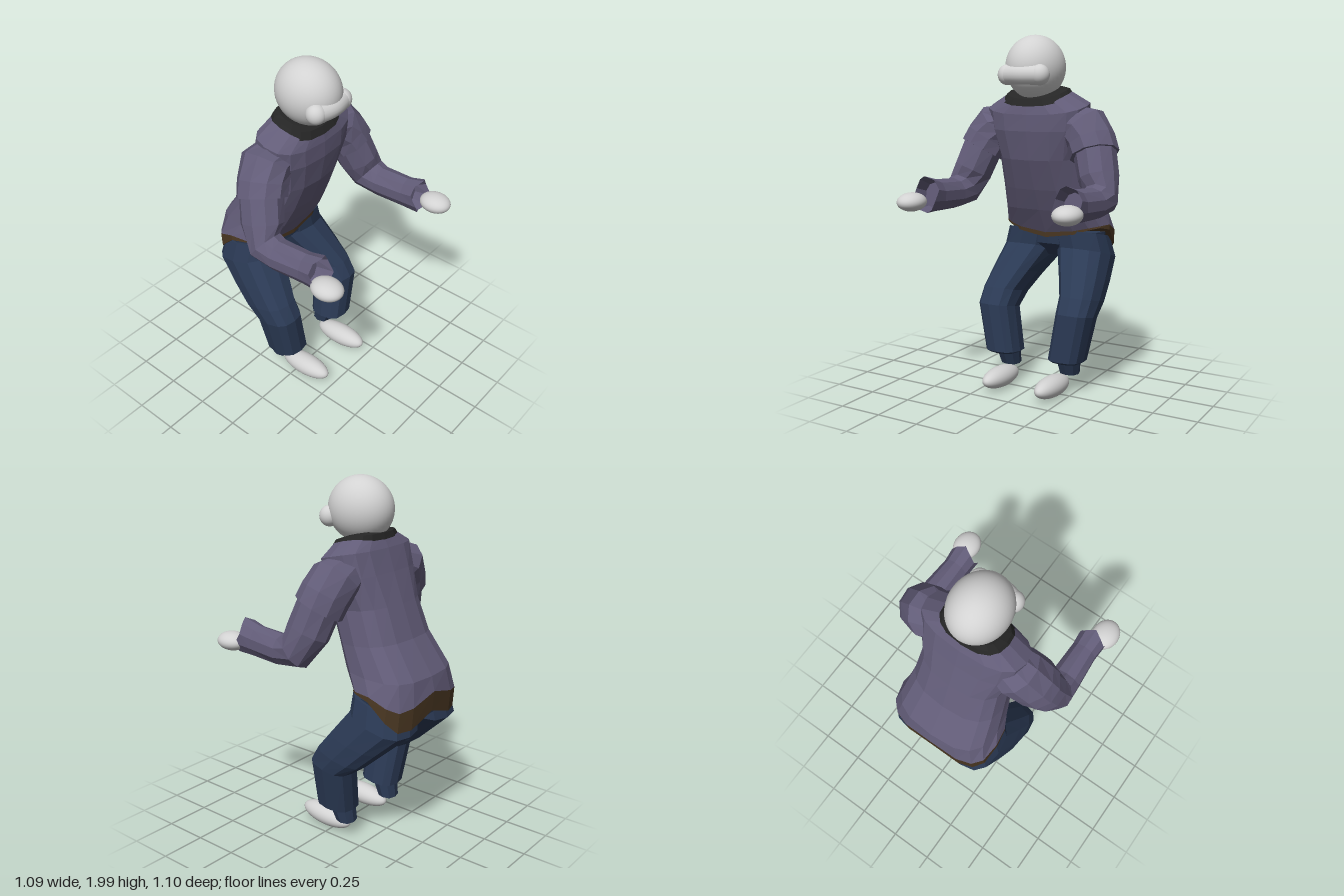
import * as THREE from 'three';

const mat = (name, color) => Object.assign(new THREE.MeshStandardMaterial({ color }), { name });
const V = (x, y, z) => new THREE.Vector3(x, y, z);
const spow = (a, p) => Math.sign(a) * Math.abs(a) ** p;

// Ring given by its front and back points [y, z], centre x and half width.
// lift raises the sides; front / back raise the four diagonals.
function span(f, b, x, w, { n = 16, p = 0.75, lift = 0, front = 0, back = 0 } = {}) {
  const pts = [];
  for (let i = 0; i < n; i++) {
    const a = (i / n) * Math.PI * 2;
    const c = spow(Math.cos(a), p), s = spow(Math.sin(a), p);
    const k = (1 + c) / 2;
    const y = b[0] + (f[0] - b[0]) * k + lift * Math.sin(a) ** 2
      + Math.abs(Math.sin(2 * a)) * (c > 0 ? front : back);
    pts.push(V(x + w * s, y, b[1] + (f[1] - b[1]) * k));
  }
  return pts;
}

// Ring around a limb: centre, direction of the limb, sideways and other radius
function limb(c, dir, rx, ry = rx, jag = 0, n = 10) {
  const t = V(...dir).normalize();
  const v = V(1, 0, 0).addScaledVector(t, -t.x).normalize();
  const u = t.clone().cross(v);
  return Array.from({ length: n }, (_, i) => {
    const a = (i / n) * Math.PI * 2;
    return V(...c).addScaledVector(u, Math.cos(a) * ry).addScaledVector(v, Math.sin(a) * rx)
      .addScaledVector(t, jag * Math.cos(3 * a));
  });
}

// Faceted skin through rings, with both ends closed; side -1 mirrors it
function loft(name, material, rings, side = 1) {
  if (side < 0) rings = rings.map(r => r.map(p => V(-p.x, p.y, p.z)).reverse());
  const n = rings[0].length, pos = [];
  const tri = (...ps) => ps.forEach(p => pos.push(p.x, p.y, p.z));
  const mid = r => r.reduce((s, p) => s.add(p), V(0, 0, 0)).divideScalar(n);
  const first = rings[0], last = rings[rings.length - 1];
  const m0 = mid(first), m1 = mid(last);
  for (let i = 0; i < n; i++) {
    const j = (i + 1) % n;
    for (let k = 0; k + 1 < rings.length; k++) {
      const a = rings[k], b = rings[k + 1];
      tri(a[i], b[i], a[j]);
      tri(a[j], b[i], b[j]);
    }
    tri(m0, first[i], first[j]);
    tri(m1, last[j], last[i]);
  }
  const g = new THREE.BufferGeometry();
  g.setAttribute('position', new THREE.Float32BufferAttribute(pos, 3));
  g.computeVertexNormals();
  const mesh = new THREE.Mesh(g, material);
  mesh.name = name;
  return mesh;
}

function ball(name, material, c, r) {
  const mesh = new THREE.Mesh(new THREE.SphereGeometry(1, 40, 28).scale(...r), material);
  mesh.position.set(...c);
  mesh.name = name;
  return mesh;
}

export function createModel() {
  const group = new THREE.Group();
  const skin = mat('pale skin', 0xd2d2d2);
  const shirt = mat('purple shirt', 0x625c78);
  const belt = mat('brown hem', 0x4b3823);
  const denim = mat('navy trousers', 0x2b3a55);
  const dark = mat('black collar', 0x262626);

  // Head with a rounded bar across the face
  group.add(ball('head', skin, [0, 1.825, -0.055], [0.16, 0.175, 0.185]));
  const muzzle = new THREE.Group();
  muzzle.name = 'muzzle';
  const arc = new THREE.CatmullRomCurve3([V(-0.1, 1.785, 0.078), V(0, 1.785, 0.096), V(0.1, 1.785, 0.078)]);
  const bar = new THREE.Mesh(new THREE.TubeGeometry(arc, 20, 0.053, 20), skin);
  bar.name = 'muzzleBar';
  muzzle.add(bar);
  for (const s of [-1, 1]) muzzle.add(ball('muzzleEnd', skin, [s * 0.1, 1.785, 0.078], [0.053, 0.056, 0.055]));
  group.add(muzzle);

  // Collar
  group.add(loft('collar', dark, [
    span([1.67, 0], [1.725, -0.18], 0, 0.14, { lift: 0.01 }),
    span([1.655, 0.035], [1.715, -0.205], 0, 0.175, { lift: 0.015 }),
    span([1.615, 0.052], [1.68, -0.215], 0, 0.2, { lift: 0.02 }),
  ]));

  // Shirt body leaning forward, with a scalloped hem
  const hemTop = span([0.89, -0.17], [0.92, -0.548], 0, 0.318, { p: 0.65, lift: 0.03, front: 0.02, back: -0.07 });
  const hemLow = span([0.862, -0.172], [0.81, -0.537], 0, 0.32, { p: 0.65, lift: 0.07, front: 0.025, back: -0.1 });
  group.add(loft('shirtBody', shirt, [
    span([1.625, 0.045], [1.69, -0.21], 0, 0.19, { lift: 0.025 }),
    span([1.57, 0.055], [1.64, -0.235], 0, 0.3, { lift: 0.015 }),
    span([1.48, 0.055], [1.52, -0.275], 0, 0.29),
    span([1.32, 0.025], [1.36, -0.335], 0, 0.25),
    span([1.15, -0.04], [1.18, -0.405], 0, 0.265),
    span([1.03, -0.095], [1.0, -0.53], 0, 0.29, { p: 0.7 }),
    hemTop,
  ]));
  group.add(loft('shirtHem', belt, [hemTop, hemLow]));

  // Trouser seat
  group.add(loft('trouserSeat', denim, [
    span([0.9, -0.19], [0.88, -0.51], 0, 0.29),
    span([0.82, -0.2], [0.77, -0.5], 0, 0.28),
    span([0.74, -0.28], [0.72, -0.44], 0, 0.2),
  ]));

  for (const s of [1, -1]) {
    const side = s > 0 ? 'left' : 'right';

    // Trouser leg, bent at the knee
    const o = { n: 12 };
    group.add(loft(side + 'TrouserLeg', denim, [
      span([0.91, -0.18], [0.84, -0.5], 0.15, 0.15, o),
      span([0.81, -0.18], [0.71, -0.522], 0.175, 0.155, o),
      span([0.67, -0.075], [0.6, -0.4], 0.22, 0.13, o),
      span([0.57, 0], [0.5, -0.29], 0.25, 0.11, o),
      span([0.48, 0.05], [0.43, -0.195], 0.253, 0.104, o),
      span([0.205, 0.052], [0.185, -0.17], 0.205, 0.1, o),
      span([0.19, 0.03], [0.18, -0.15], 0.205, 0.085, o),
    ], s));
    group.add(loft(side + 'Ankle', denim, [
      span([0.23, -0.005], [0.22, -0.15], 0.2, 0.07, { n: 8 }),
      span([0.1, -0.06], [0.1, -0.165], 0.195, 0.055, { n: 8 }),
    ], s));
    const foot = ball(side + 'Foot', skin, [s * 0.168, 0.066, 0.055], [0.066, 0.06, 0.168]);
    foot.rotation.x = -0.06;
    group.add(foot);

    // Short oversleeve
    const cuffDir = [0.36, -0.86, 0.33];
    group.add(loft(side + 'ShortSleeve', shirt, [
      limb([0.16, 1.53, -0.11], [0.85, -0.5, 0], 0.11),
      limb([0.265, 1.505, -0.11], [0.7, -0.7, 0.1], 0.138),
      limb([0.325, 1.43, -0.085], [0.45, -0.85, 0.25], 0.136),
      limb([0.357, 1.36, -0.065], cuffDir, 0.136),
      limb([0.357, 1.36, -0.065], cuffDir, 0.11),
    ], s));

    // Long sleeve bent at the elbow, with a hollow uneven cuff
    group.add(loft(side + 'LongSleeve', shirt, [
      limb([0.355, 1.38, -0.07], cuffDir, 0.118),
      limb([0.4, 1.24, -0.03], [0.3, -0.88, 0.3], 0.11, 0.12),
      limb([0.435, 1.14, 0.02], [0.05, -0.6, 0.8], 0.095, 0.105),
      limb([0.435, 1.123, 0.12], [0, 0.03, 1], 0.085),
      limb([0.43, 1.132, 0.3], [0, 0.05, 1], 0.074, 0.088),
      limb([0.43, 1.145, 0.39], [0, 0.1, 1], 0.08, 0.1, 0.02),
      limb([0.43, 1.132, 0.31], [0, 0.1, 1], 0.06, 0.072),
    ], s));
    group.add(ball(side + 'Hand', skin, [s * 0.47, 1.112, 0.462], [0.075, 0.051, 0.09]));
  }
  return group;
}
